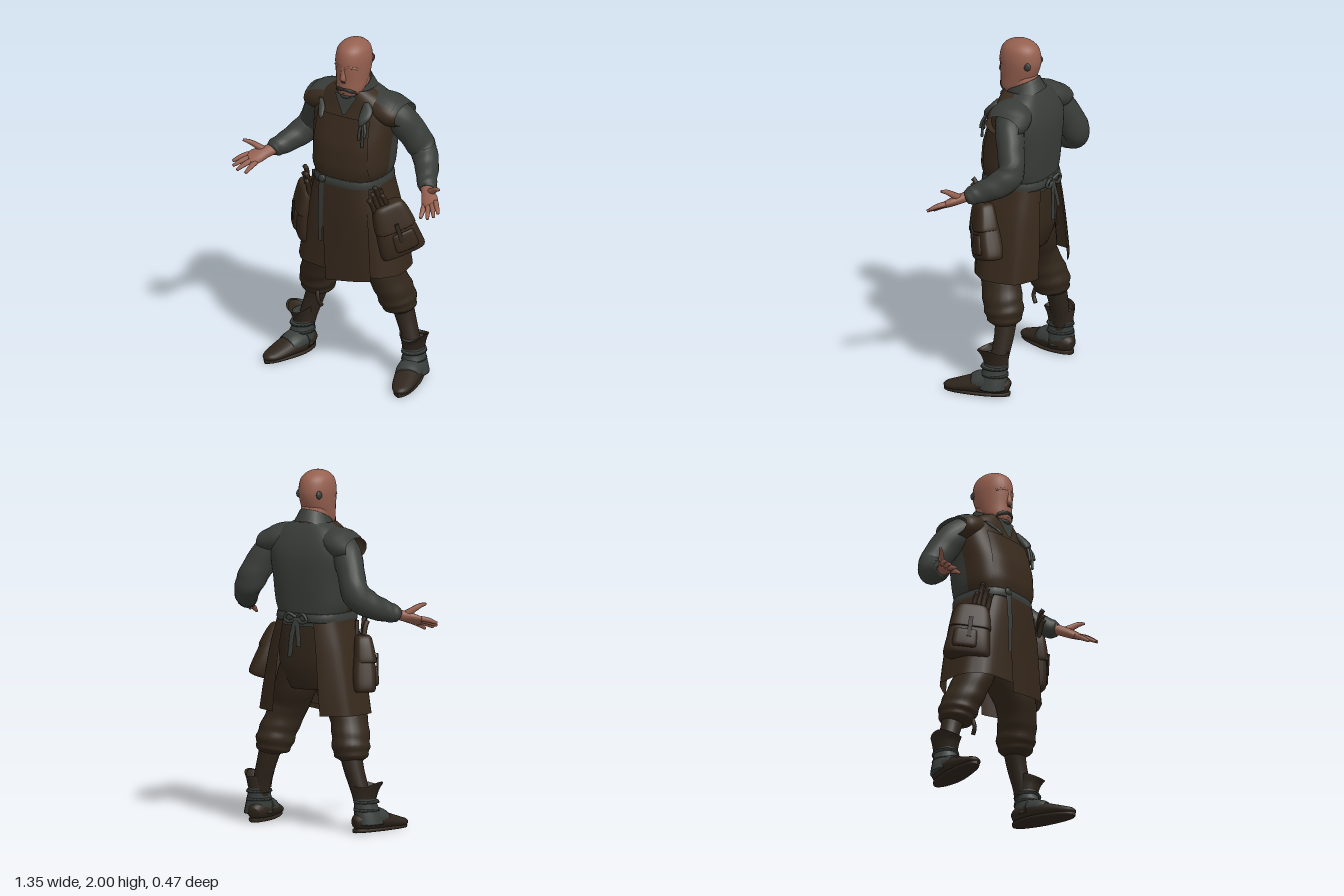
import * as THREE from 'three';

const V = (x, y, z) => new THREE.Vector3(x, y, z);
const mat = (name, color) => Object.assign(new THREE.MeshStandardMaterial({ color, side: THREE.DoubleSide }), { name });
const skin = mat('skin', 0x95604f), grey = mat('grey cloth', 0x393d39), brown = mat('apron brown', 0x37291c);
const vest = mat('vest brown', 0x392b1e), trouser = mat('trouser brown', 0x32271b), leather = mat('pouch leather', 0x36281c);
const boot = mat('boot brown', 0x2f261d), hair = mat('dark hair', 0x2b2b28), bootGrey = mat('boot grey', 0x383e3b);

function add(parent, name, geo, m) {
  const mesh = new THREE.Mesh(geo, m);
  mesh.name = name;
  parent.add(mesh);
  return mesh;
}

// Smooth in-between cross-sections [x, y, z, ru, rv]
function resample(secs, k) {
  const out = [], get = i => secs[Math.min(secs.length - 1, Math.max(0, i))];
  for (let i = 0; i < secs.length - 1; i++) for (let j = 0; j < k; j++) {
    const t = j / k, [a, b, c, d] = [get(i - 1), get(i), get(i + 1), get(i + 2)];
    out.push(b.map((_, q) => 0.5 * (2 * b[q] + (c[q] - a[q]) * t + (2 * a[q] - 5 * b[q] + 4 * c[q] - d[q]) * t * t
      + (3 * b[q] - a[q] - 3 * c[q] + d[q]) * t * t * t)));
  }
  out.push(secs[secs.length - 1]);
  return out;
}

// Skin over (super)elliptic rings: horizontal, or square to the path when ref is given
function loft(parent, name, m, secs, { n = 20, k = 4, e = 2, ref, from, to, caps = true, warp } = {}) {
  const rows = resample(secs, k), closed = from === undefined, cols = closed ? n : n + 1;
  const pos = [], idx = [], sp = c => Math.sign(c) * Math.abs(c) ** (2 / e);
  const centre = r => V(r[0], r[1], r[2]);
  rows.forEach((r, i) => {
    let u = V(1, 0, 0), v = V(0, 0, 1);
    if (ref) {
      const T = centre(rows[Math.min(rows.length - 1, i + 1)]).sub(centre(rows[Math.max(0, i - 1)])).normalize();
      v = ref.clone().addScaledVector(T, -ref.dot(T)).normalize();
      u = T.clone().cross(v);
    }
    for (let j = 0; j < cols; j++) {
      const a = closed ? j / n * Math.PI * 2 : from + (to - from) * j / n;
      const p = centre(r).addScaledVector(u, sp(Math.cos(a)) * Math.max(r[3], 0.001)).addScaledVector(v, sp(Math.sin(a)) * Math.max(r[4], 0.001));
      if (warp) warp(p, a, i / (rows.length - 1), centre(r));
      pos.push(p.x, p.y, p.z);
    }
  });
  for (let i = 0; i < rows.length - 1; i++) for (let j = 0; j < n; j++) {
    const a = i * cols + j, c = i * cols + (j + 1) % cols, b = a + cols, d = c + cols;
    idx.push(a, b, c, b, d, c);
  }
  if (closed && caps) [0, rows.length - 1].forEach((i, end) => {
    const c = pos.length / 3;
    pos.push(...rows[i].slice(0, 3));
    for (let j = 0; j < n; j++) {
      const a = i * cols + j, b = i * cols + (j + 1) % n;
      end ? idx.push(c, b, a) : idx.push(c, a, b);
    }
  });
  const g = new THREE.BufferGeometry();
  g.setAttribute('position', new THREE.Float32BufferAttribute(pos, 3));
  g.setIndex(idx);
  g.computeVertexNormals();
  return add(parent, name, g, m);
}

const E = 2.8; // boxiness of the body
const torso = [[0, 1.14, 0, .205, .183], [0, 1.2, -.008, .2, .178], [0, 1.27, -.005, .222, .187], [0, 1.4, -.017, .232, .185],
  [0, 1.52, -.037, .245, .165], [0, 1.6, -.042, .24, .143], [0, 1.67, -.035, .185, .12], [0, 1.715, -.025, .11, .1]];
const skirt = [[0, .65, -.013, .325, .2], [0, .8, -.013, .298, .199], [0, 1, -.008, .258, .196], [0, 1.14, -.006, .218, .19], [0, 1.2, -.005, .203, .184]];

// Thin cloth quad laid on the front of a body profile; corners: top left, top right, bottom right, bottom left
function plate(parent, name, m, body, q, off = .012) {
  const g = new THREE.PlaneGeometry(1, 1, 14, 14), p = g.attributes.position;
  for (let i = 0; i < p.count; i++) {
    const s = p.getX(i) + .5, t = .5 - p.getY(i);
    const [x, y] = [0, 1].map(c => (q[0][c] * (1 - s) + q[1][c] * s) * (1 - t) + (q[3][c] * (1 - s) + q[2][c] * s) * t);
    const h = Math.max(0, body.findIndex((r, n) => n === body.length - 2 || body[n + 1][1] > y));
    const f = THREE.MathUtils.clamp((y - body[h][1]) / (body[h + 1][1] - body[h][1]), 0, 1);
    const r = body[h].map((w, n) => w + (body[h + 1][n] - w) * f);
    p.setXYZ(i, x, y, r[2] + off + r[4] * Math.max(0, 1 - Math.abs(x / r[3]) ** E) ** (1 / E));
  }
  g.computeVertexNormals();
  add(parent, name, g, m);
}

function rod(parent, name, m, pts, r, ref = V(0, 0, 1), r2 = r) {
  return loft(parent, name, m, pts.map(p => [...p, r, r2]), { n: 8, k: 3, ref });
}

function buildHead(g) {
  loft(g, 'neck', skin, [[0, 1.62, -.03, .08, .08], [0, 1.8, -.015, .08, .085]]);
  loft(g, 'head', skin, [[0, 1.678, .05, .03, .03], [0, 1.69, .05, .06, .055], [0, 1.72, .035, .08, .08], [0, 1.78, .013, .089, .104],
    [0, 1.85, .002, .096, .12], [0, 1.9, .001, .097, .121], [0, 1.95, .001, .086, .107], [0, 1.98, .001, .06, .075],
    [0, 1.995, .001, .03, .036], [0, 2, .001, .004, .004]], { n: 28 });
  loft(g, 'nose', skin, [[0, 1.87, .112, .01, .01], [0, 1.83, .117, .013, .013], [0, 1.795, .12, .019, .016], [0, 1.78, .112, .012, .008]], { n: 10 });
  rod(g, 'nostrilShade', hair, [[-.012, 1.776, .115], [0, 1.774, .119], [.012, 1.776, .115]], .005);
  rod(g, 'mouth', hair, [[-.022, 1.704, .1], [0, 1.707, .108], [.022, 1.704, .1]], .006);
  loft(g, 'chinStubble', grey, [[-.045, 1.69, .075, .01, .01], [0, 1.684, .1, .012, .012], [.045, 1.69, .075, .01, .01]], { n: 8, ref: V(0, 0, 1) });
  for (const s of [-1, 1]) {
    rod(g, 'browRidge', skin, [[s * .012, 1.866, .116], [s * .04, 1.87, .106], [s * .07, 1.86, .079]], .008);
    loft(g, 'moustache', hair, [[0, 1.731, .111, .011, .009], [s * .03, 1.727, .106, .014, .01], [s * .055, 1.713, .085, .011, .008], [s * .06, 1.698, .072, .005, .004]], { n: 8, ref: V(0, 0, 1) });
    const ear = add(g, 'earPatch', new THREE.SphereGeometry(.024, 12, 8), grey);
    ear.position.set(s * .068, 1.868, -.079);
    ear.scale.set(.55, 1, 1);
  }
}

function buildTorso(g) {
  const round = { n: 28, e: E };
  loft(g, 'vestFront', vest, torso, { ...round, from: 0, to: Math.PI });
  loft(g, 'shirtBack', grey, torso, { ...round, from: Math.PI, to: 2 * Math.PI });
  loft(g, 'collar', grey, [[0, 1.65, -.03, .125, .115], [0, 1.7, -.022, .1, .103], [0, 1.735, -.013, .089, .096], [0, 1.728, -.014, .08, .086]],
    { caps: false, warp: p => { p.y -= p.z * .5; } });
  plate(g, 'bib', brown, torso, [[-.175, 1.57], [.165, 1.57], [.185, 1.2], [-.185, 1.2]]);
  plate(g, 'neckOpening', grey, torso, [[-.07, 1.69], [.075, 1.69], [.012, 1.58], [-.005, 1.58]]);
  loft(g, 'chestTie', grey, [[-.165, 1.63, .085, .012, .01], [-.14, 1.6, .115, .02, .012], [-.125, 1.565, .15, .016, .01], [-.12, 1.545, .16, .006, .005]], { n: 10 });
  loft(g, 'chestBadge', grey, [[.13, 1.555, .145, .015, .014], [.14, 1.59, .122, .034, .026], [.14, 1.63, .09, .036, .024], [.125, 1.665, .07, .012, .012]], { n: 10 });
  for (const [x, y] of [[.13, 1.47], [.15, 1.43], [.165, 1.49]])
    rod(g, 'badgeCord', grey, [[.14, 1.59, .125], [x, 1.53, .152], [x, y, .162]], .008);
  for (const s of [-1, 1]) {
    // Sloping shoulder flap, brown before the seam and grey behind
    const cap = [[s * .1, 1.63, -.035, .072, .1], [s * .19, 1.607, -.045, .085, .125], [s * .25, 1.588, -.055, .078, .122], [s * .3, 1.585, -.055, .06, .108]];
    const mid = s > 0 ? .72 * Math.PI : .28 * Math.PI, o = { n: 14, ref: V(0, 0, 1) };
    loft(g, 'shoulderCapFront', vest, cap, { ...o, from: s > 0 ? 0 : mid, to: s > 0 ? mid : Math.PI });
    loft(g, 'shoulderCapBack', grey, cap, { ...o, from: s > 0 ? mid : Math.PI, to: s > 0 ? 2 * Math.PI : 2 * Math.PI + mid });
  }
}

function buildArm(g, s) {
  const X = secs => secs.map(([x, ...r]) => [s * x, ...r]);
  loft(g, 'sleeve', grey, X([[.2, 1.585, -.05, .085, .09], [.26, 1.535, -.08, .082, .09], [.315, 1.445, -.12, .076, .085], [.363, 1.345, -.145, .074, .082],
    [.418, 1.283, -.09, .068, .074], [.468, 1.243, -.01, .057, .06], [.5, 1.225, .033, .052, .05], [.51, 1.217, .052, .036, .036]]),
  { k: 6, ref: V(0, 1, 0), warp: (p, a, t, c) => p.sub(c).multiplyScalar(1 + .035 * Math.sin(t * 44 + a * 2) * t).add(c) });
  const flat = V(-.2 * s, .85, .5);
  loft(g, 'palm', skin, X([[.485, 1.23, .03, .032, .03], [.53, 1.21, .08, .038, .028], [.565, 1.192, .12, .049, .024], [.595, 1.177, .152, .045, .016]]), { n: 14, ref: flat });
  [[.572, 1.126, .225], [.622, 1.137, .235], [.655, 1.15, .222], [.67, 1.167, .2]].forEach((tip, i) => {
    const k = (i - 1.5) * .023, b = [.58 + .88 * k, 1.183 + .4 * k, .138 - .26 * k];
    const m = b.map((c, q) => (c + tip[q]) / 2 + (q === 1 ? .004 : 0));
    loft(g, 'finger', skin, X([[...b, .016, .015], [...m, .015, .014], [...tip, .009, .008]]), { n: 8, ref: flat });
  });
  loft(g, 'thumb', skin, X([[.535, 1.215, .075, .022, .02], [.58, 1.248, .1, .018, .016], [.61, 1.27, .122, .014, .012], [.64, 1.281, .14, .007, .007]]), { n: 8, ref: V(0, 0, 1) });
}

function buildSkirt(g) {
  loft(g, 'hips', trouser, [[0, .78, -.02, .13, .12], [0, .9, -.02, .19, .155], [0, 1.05, -.01, .2, .168], [0, 1.17, 0, .195, .172]], { e: E });
  const gap = .37;
  loft(g, 'apronSkirt', brown, skirt, { n: 48, e: E, from: -Math.PI / 2 + gap, to: Math.PI * 1.5 - gap,
    warp: (p, a, t) => { const f = 1 + .015 * Math.sin(a * 9) * (1 - t); p.x *= f; p.z *= f; } });
  plate(g, 'frontPanel', leather, skirt, [[-.1, 1.17], [.18, 1.17], [.215, .63], [-.065, .59]], .012);
  loft(g, 'belt', grey, [[0, 1.165, -.003, .21, .193], [0, 1.19, -.003, .21, .196], [0, 1.215, -.003, .205, .19]], { n: 32, e: E });
  plate(g, 'hangingStrap', grey, skirt, [[-.115, 1.2], [-.075, 1.2], [-.085, .82], [-.11, .82]], .019);
  const knot = add(g, 'beltKnot', new THREE.SphereGeometry(.024, 12, 8), grey);
  knot.position.set(-.095, 1.195, .188);
  knot.scale.z = .5;
  // Bow and loose strings behind the waist
  for (const s of [-1, 1]) {
    rod(g, 'bowLoop', grey, [[0, 1.19, -.2], [s * .05, 1.215, -.215], [s * .075, 1.18, -.21], [s * .04, 1.165, -.212], [0, 1.19, -.2]], .009);
    rod(g, 'apronString', grey, [[0, 1.19, -.205], [s * .02, 1.1, -.218], [s * .03, s > 0 ? .97 : 1.03, -.226]], .016, V(0, 0, 1), .006);
  }
}

function buildPouch(parent, s) {
  const g = new THREE.Group();
  g.name = s > 0 ? 'leftPouch' : 'rightPouch';
  g.position.set(s * (s > 0 ? .3 : .272), s > 0 ? .935 : .92, .052);
  g.rotation.set(0, s * .85, s > 0 ? .3 : -.12);
  loft(g, 'pouchBody', leather, [[0, -.155, 0, .105, .045], [0, -.14, 0, .13, .064], [0, -.06, 0, .124, .07], [0, .06, 0, .105, .056], [0, .13, 0, .085, .043], [0, .155, 0, .07, .033]], { n: 28, e: 3.6 });
  loft(g, 'pouchFlap', brown, [[0, .01, .008, .105, .064], [0, .02, .008, .117, .066], [0, .1, .003, .104, .056], [0, .15, 0, .086, .046], [0, .165, 0, .06, .03]], { n: 28, e: 3.6 });
  loft(g, 'frontPocket', leather, [[s * .02, -.12, .05, .06, .025], [s * .02, -.1, .05, .07, .033], [s * .02, -.02, .048, .065, .03], [s * .02, -.01, .046, .05, .02]], { e: 4 });
  add(g, 'pouchStrap', new THREE.BoxGeometry(.024, .12, .009), boot).position.set(0, .0, .081);
  add(g, 'hangerLoop', new THREE.BoxGeometry(.07, .13, .02), leather).position.set(-s * .03, .18, -.03);
  for (let i = 0; i < 4; i++) {
    const x = -s * i * .026, h = .2 + .03 * ((i * 2) % 3);
    rod(g, 'tool', i % 2 ? trouser : leather, [[x, .1, 0], [x - s * .008, h, .015], [x - s * .018, h + .04, .03]], .014);
  }
  parent.add(g);
}

function buildLeg(g, s) {
  const X = secs => secs.map(([x, ...r]) => [s * x, ...r]), ref = V(0, 0, 1);
  loft(g, 'breeches', trouser, X([[.09, .95, -.02, .1, .13], [.135, .8, -.005, .115, .13], [.195, .66, .008, .1, .118], [.237, .55, -.018, .1, .114],
    [.258, .47, -.043, .103, .112], [.272, .415, -.055, .09, .092], [.275, .39, -.058, .055, .06]]),
  { n: 24, k: 6, ref, warp: (p, a, t, c) => p.sub(c).multiplyScalar(1 + .045 * Math.sin(t * 40 + 2 * Math.sin(a + s)) * t).add(c) });
  if (s < 0) rod(g, 'kneeTie', trouser, X([[.22, .42, .03], [.21, .37, .04], [.2, .33, .02]]), .012);
  loft(g, 'stocking', boot, X([[.268, .44, -.062, .065, .062], [.297, .34, -.067, .056, .056], [.335, .22, -.06, .05, .052], [.355, .12, -.05, .05, .055]]), { ref });
  loft(g, 'bootUpper', bootGrey, X([[.375, .045, -.03, .08, .095], [.37, .09, -.036, .073, .087], [.363, .14, -.046, .064, .073], [.357, .2, -.052, .058, .068], [.358, .235, -.05, .062, .071]]));
  loft(g, 'bootCuff', boot, X([[.357, .19, -.05, .061, .072], [.362, .235, -.045, .07, .079], [.37, .27, -.035, .08, .09], [.368, .262, -.035, .068, .078]]),
    { caps: false, warp: (p, a, t) => { p.y += .02 * t * Math.cos(2 * a); } });
  for (const y of [.12, .165]) loft(g, 'bootStrap', bootGrey, X([[.364, y, -.044, .07, .081], [.362, y + .014, -.047, .066, .076]]), { k: 1 });
  const foot = [[.342, .05, -.128, .027, .03], [.352, .06, -.09, .054, .055], [.37, .065, 0, .074, .065], [.398, .05, .1, .07, .044],
    [.42, .036, .18, .056, .03], [.43, .032, .222, .036, .02], [.434, .03, .24, .01, .006]];
  loft(g, 'bootFoot', boot, X(foot), { ref: V(0, 1, 0), warp: p => { p.y = Math.max(p.y, .01); } });
  loft(g, 'instep', bootGrey, X([[.367, .075, -.02, .075, .066], [.38, .068, .04, .074, .061], [.392, .06, .075, .068, .05]]), { ref: V(0, 1, 0), warp: p => { p.y = Math.max(p.y, .03); } });
  loft(g, 'sole', boot, X(foot.map(([x, , z, r]) => [x, .012, z, r - .008, .012])), { ref: V(0, 1, 0), e: 4 });
}

export function createModel() {
  const root = new THREE.Group();
  root.name = 'apronedCraftsman';
  const part = (name, build, ...args) => {
    const g = new THREE.Group();
    g.name = name;
    build(g, ...args);
    root.add(g);
  };
  part('headGroup', buildHead);
  part('torsoGroup', buildTorso);
  part('skirtGroup', buildSkirt);
  for (const s of [-1, 1]) {
    const side = s > 0 ? 'left' : 'right';
    part(side + 'Arm', buildArm, s);
    part(side + 'Leg', buildLeg, s);
    buildPouch(root, s);
  }
  return root;
}
